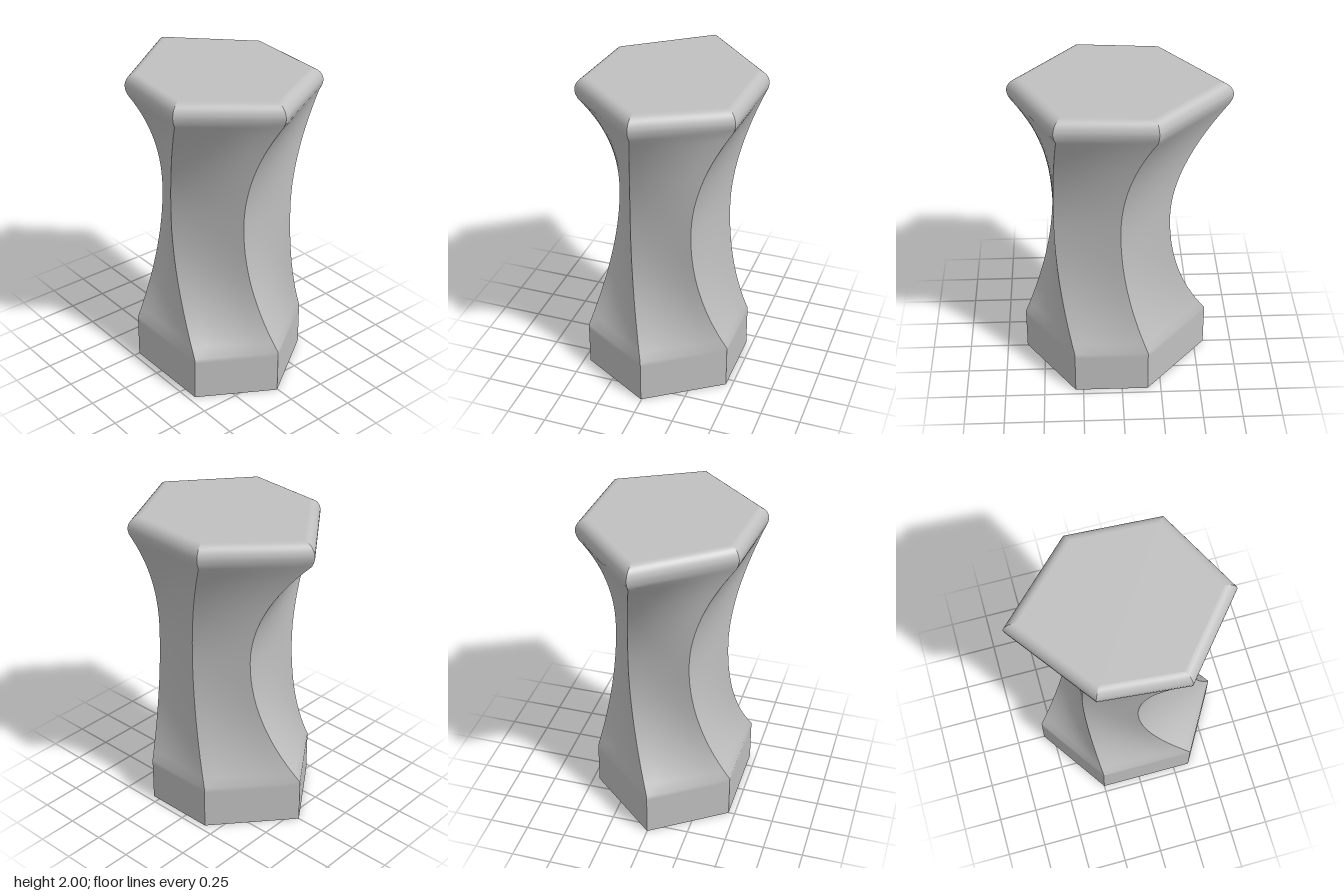
import * as THREE from 'three';

// Corner positions [x, z], anticlockwise from above, for three levels
const BASE = [[-0.25, 0.46], [0.355, 0.46], [0.62, 0.005], [0.3, -0.46], [-0.165, -0.46], [-0.565, 0]];
const WAIST = [[-0.305, 0.197], [0.005, 0.362], [0.42, 0.13], [0.41, -0.25], [0.006, -0.37], [-0.303, -0.19]];
const RIM = [[-0.275, 0.475], [0.264, 0.526], [0.668, 0.04], [0.39, -0.5], [-0.203, -0.532], [-0.67, -0.065]];
const BASE_TOP = 0.29, WAIST_Y = 1.15, NECK_Y = 1.86, RIM_Y = 1.92, TOP_Y = 2;

const scaled = (ring, s) => ring.map(([x, z]) => [x * s, z * s]);
const mix = (a, b, t) => a.map(([x, z], i) => [x + (b[i][0] - x) * t, z + (b[i][1] - z) * t]);

// Cross-sections of the hourglass body, from the floor to the rounded rim
function sections() {
  const rows = [[0, BASE], [BASE_TOP - 0.03, BASE]];
  const neck = scaled(RIM, 0.965);
  const n = 14;
  for (let i = 0; i <= n; i++) {
    const t = 1 - i / n;
    rows.push([WAIST_Y + (BASE_TOP - WAIST_Y) * t, mix(WAIST, BASE, t * t)]);
  }
  for (let i = 1; i <= n; i++) {
    const t = i / n;
    rows.push([WAIST_Y + (NECK_Y - WAIST_Y) * t, mix(WAIST, neck, t * t)]);
  }
  // Rim: short undercut, then a quarter round up to the flat top
  rows.push([1.89, scaled(RIM, 0.99)]);
  for (let i = 0; i <= 8; i++) {
    const a = (i / 8) * Math.PI / 2;
    rows.push([RIM_Y + (TOP_Y - RIM_Y) * Math.sin(a), scaled(RIM, 0.88 + 0.12 * Math.cos(a))]);
  }
  return rows;
}

// One smooth side between two neighbouring corners
function sideGeometry(rows, k) {
  const cols = 6, pos = [], index = [];
  for (const [y, ring] of rows) {
    const a = ring[k], b = ring[(k + 1) % 6];
    for (let c = 0; c <= cols; c++) {
      const t = c / cols;
      pos.push(a[0] + (b[0] - a[0]) * t, y, a[1] + (b[1] - a[1]) * t);
    }
  }
  for (let r = 0; r < rows.length - 1; r++) {
    for (let c = 0; c < cols; c++) {
      const p = r * (cols + 1) + c, q = p + cols + 1;
      index.push(p, p + 1, q + 1, p, q + 1, q);
    }
  }
  const g = new THREE.BufferGeometry();
  g.setAttribute('position', new THREE.Float32BufferAttribute(pos, 3));
  g.setIndex(index);
  g.computeVertexNormals();
  return g;
}

// Flat six-sided cap facing up or down
function capGeometry(ring, y, up) {
  const g = new THREE.BufferGeometry();
  g.setAttribute('position', new THREE.Float32BufferAttribute(ring.flatMap(([x, z]) => [x, y, z]), 3));
  const index = [];
  for (let i = 1; i < 5; i++) index.push(0, ...(up ? [i, i + 1] : [i + 1, i]));
  g.setIndex(index);
  g.computeVertexNormals();
  return g;
}

export function createModel() {
  const grey = new THREE.MeshStandardMaterial({ color: 0xc0c0c0 });
  grey.name = 'grey';
  const group = new THREE.Group();
  group.name = 'hexagonalStool';
  const add = (name, geometry) => {
    const mesh = new THREE.Mesh(geometry, grey);
    mesh.name = name;
    group.add(mesh);
  };

  const rows = sections();
  for (let k = 0; k < 6; k++) add('side' + (k + 1), sideGeometry(rows, k));
  add('seatTop', capGeometry(rows[rows.length - 1][1], TOP_Y, true));
  add('underside', capGeometry(BASE, 0, false));
  return group;
}
